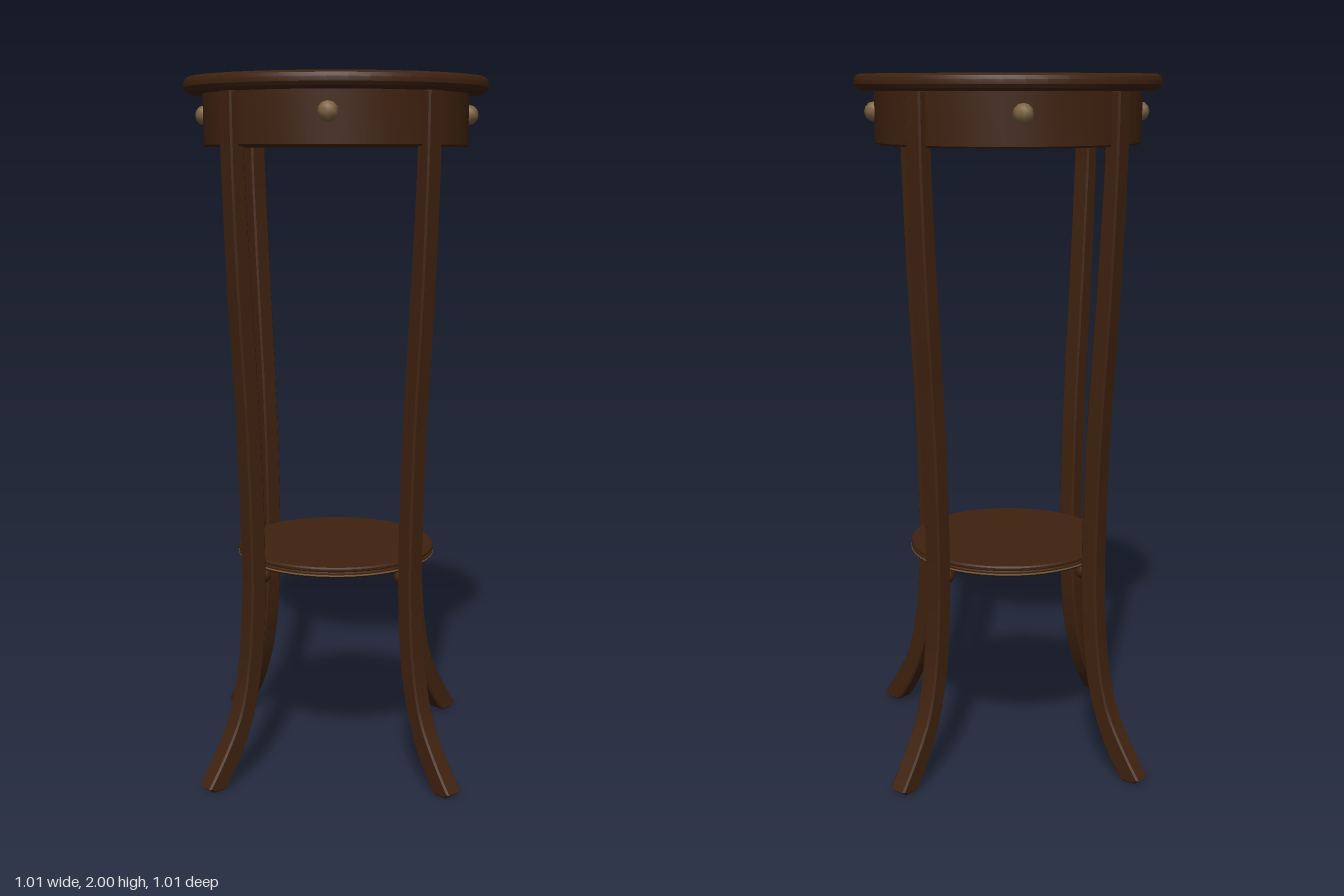
import * as THREE from 'three';
import { toCreasedNormals } from 'three/addons/utils/BufferGeometryUtils.js';

const wood = new THREE.MeshStandardMaterial({ name: 'darkWood', color: 0x3f220f });
const pale = new THREE.MeshStandardMaterial({ name: 'paleInlay', color: 0x7c6242 });

const vecs = (pts) => pts.map(([x, y]) => new THREE.Vector2(x, y));

// Solid turned about the y axis; profile runs from bottom centre to top centre
function turned(name, profile, material = wood) {
  const geo = toCreasedNormals(new THREE.LatheGeometry(vecs(profile), 48), 0.4);
  const mesh = new THREE.Mesh(geo, material);
  mesh.name = name;
  return mesh;
}

// Curved leg: side outline of (radius, height) with softened long edges
function legGeometry() {
  const outer = new THREE.SplineCurve(vecs([
    [0.503, 0.014], [0.445, 0.1], [0.392, 0.2], [0.362, 0.32], [0.347, 0.46],
    [0.342, 0.64], [0.353, 1.0], [0.379, 1.4], [0.395, 1.75], [0.398, 1.957],
  ])).getPoints(36);
  const inner = new THREE.SplineCurve(vecs([
    [0.352, 1.957], [0.349, 1.75], [0.328, 1.4], [0.301, 1.0], [0.29, 0.64],
    [0.297, 0.42], [0.318, 0.27], [0.347, 0.17], [0.388, 0.08], [0.437, 0.006],
  ])).getPoints(36);
  const shape = new THREE.Shape([...outer, ...inner, new THREE.Vector2(0.45, 0), new THREE.Vector2(0.487, 0.001)]);
  const bevel = 0.005, width = 0.053;
  const geo = new THREE.ExtrudeGeometry(shape, {
    depth: width - 2 * bevel, bevelEnabled: true, bevelThickness: bevel,
    bevelSize: bevel, bevelOffset: -bevel, bevelSegments: 1,
  });
  geo.translate(0, 0, bevel - width / 2);
  return toCreasedNormals(geo, 0.5);
}

export function createModel() {
  const model = new THREE.Group();
  model.name = 'plantStand';

  // Round top with eased edges
  model.add(turned('tableTop', [
    [0, 1.955], [0.414, 1.955], [0.424, 1.962], [0.43, 1.972],
    [0.43, 1.984], [0.426, 1.994], [0.417, 2], [0, 2],
  ]));

  // Drum apron under the top
  model.add(turned('apron', [[0, 1.81], [0.372, 1.81], [0.376, 1.815], [0.376, 1.956], [0, 1.956]]));

  // Lower shelf and its thin inlaid band
  model.add(turned('shelf', [
    [0, 0.62], [0.286, 0.62], [0.29, 0.624], [0.29, 0.634],
    [0.286, 0.637], [0.29, 0.64], [0.29, 0.646], [0.286, 0.65], [0, 0.65],
  ]));
  model.add(turned('shelfInlay', [[0.288, 0.6255], [0.291, 0.6255], [0.291, 0.6295], [0.288, 0.6295]], pale));

  const legGeo = legGeometry();
  const supportGeo = new THREE.SphereGeometry(0.025, 16, 10);
  const knobGeo = new THREE.SphereGeometry(0.028, 8, 6);

  for (let i = 0; i < 4; i++) {
    const quarter = new THREE.Group();
    quarter.name = 'quarter' + (i + 1);
    quarter.rotation.y = i * Math.PI / 2;

    const leg = new THREE.Mesh(legGeo, wood);
    leg.name = 'leg';

    // Ball support tucked under the shelf against the leg
    const support = new THREE.Mesh(supportGeo, wood);
    support.name = 'shelfSupport';
    support.position.set(0.283, 0.602, 0);

    // Knob on the apron midway between two legs
    const knob = new THREE.Mesh(knobGeo, pale);
    knob.name = 'knob';
    knob.position.set(0.375 * Math.SQRT1_2, 1.898, 0.375 * Math.SQRT1_2);
    knob.rotation.y = Math.PI / 4;

    quarter.add(leg, support, knob);
    model.add(quarter);
  }
  return model;
}
